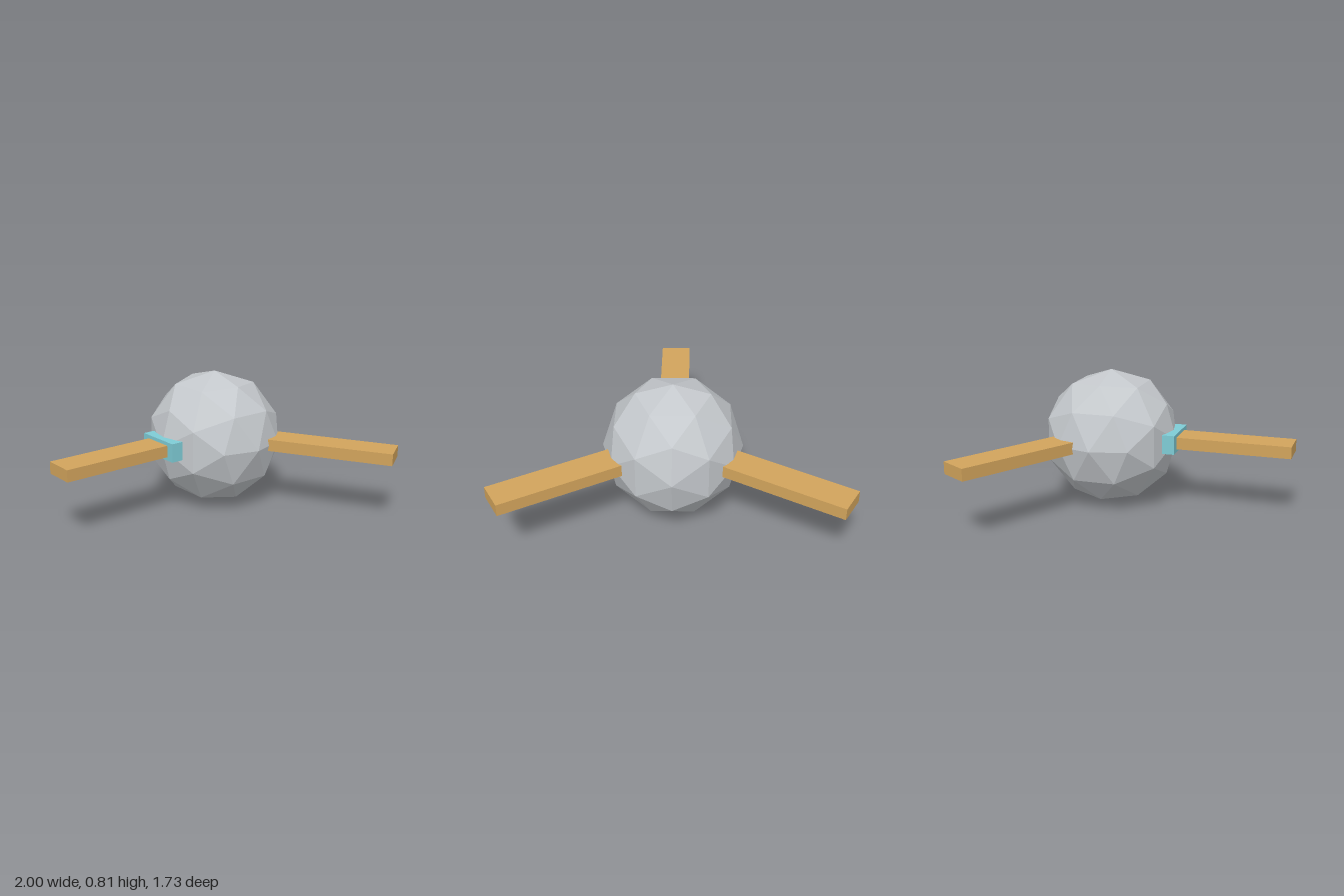
import * as THREE from 'three';

export function createModel() {
  const stone = new THREE.MeshStandardMaterial({ color: 0xc4c8cc, flatShading: true });
  stone.name = 'pale grey';
  const wood = new THREE.MeshStandardMaterial({ color: 0xd2a45c });
  wood.name = 'tan wood';
  const teal = new THREE.MeshStandardMaterial({ color: 0x7fccd6 });
  teal.name = 'light teal';

  const model = new THREE.Group();
  model.name = 'threeArmedHub';

  // Hub that carries everything: arms radiate from its centre
  const R = 0.404;
  const hub = new THREE.Group();
  hub.name = 'hub';
  hub.position.set(0, R, -0.239);
  model.add(hub);

  // Faceted ball
  const ball = new THREE.Mesh(new THREE.IcosahedronGeometry(R, 1), stone);
  ball.name = 'ball';
  hub.add(ball);

  // Three flat arms, 120 degrees apart, rooted inside the ball
  const inner = 0.3, outer = 1.1;
  const armGeometry = new THREE.BoxGeometry(0.18, 0.07, outer - inner);
  armGeometry.translate(0, 0.004, (inner + outer) / 2);
  ['frontArm', 'leftArm', 'rightArm'].forEach((name, i) => {
    const arm = new THREE.Mesh(armGeometry, wood);
    arm.name = name;
    arm.rotation.y = (i * Math.PI * 2) / 3;
    hub.add(arm);
  });

  // Collar block around the root of the front arm
  const collar = new THREE.Mesh(new THREE.BoxGeometry(0.275, 0.112, 0.073), teal);
  collar.name = 'frontCollar';
  collar.position.set(0, 0.004, 0.392);
  hub.add(collar);

  return model;
}
